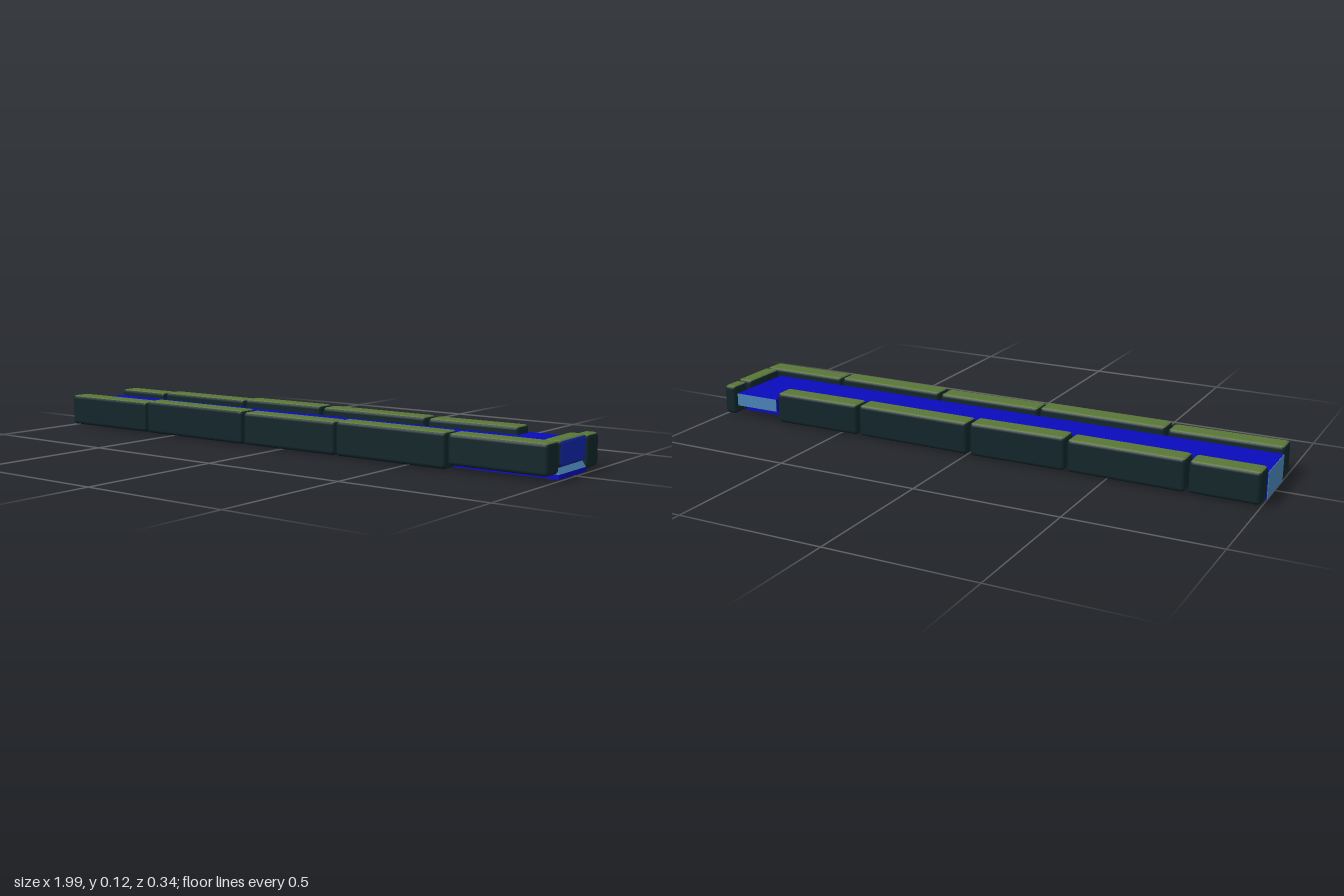
import * as THREE from 'three';
import { RoundedBoxGeometry } from 'three/addons/geometries/RoundedBoxGeometry.js';

const paint = (color) => new THREE.MeshStandardMaterial({ color });
const mossMat = paint(0x587636);
const sideMat = paint(0x12262a);
const baseMat = paint(0x0a1230);
const wetMat = paint(0x1226a8);
const waterMat = paint(0x0a0abc);
const fallMat = paint(0x4a84b8);

// rounded stone filling the given bounds: mossy top, dark sides, turned slightly about y
function stone(name, [x0, x1], [y0, y1], [z0, z1], turn = 0, leftMat = sideMat) {
  const geo = new RoundedBoxGeometry(x1 - x0, y1 - y0, z1 - z0, 3, 0.013);
  // face order: +x, -x, +y, -y, +z, -z
  const mesh = new THREE.Mesh(geo, [leftMat, sideMat, mossMat, baseMat, sideMat, sideMat]);
  mesh.name = name;
  mesh.position.set((x0 + x1) / 2, (y0 + y1) / 2, (z0 + z1) / 2);
  mesh.rotation.y = turn;
  return mesh;
}

// outline in x and y, extruded across z
function water(name, outline, z0, z1, material = waterMat) {
  const shape = new THREE.Shape(outline.map(([x, y]) => new THREE.Vector2(x, y)));
  const geo = new THREE.ExtrudeGeometry(shape, { depth: z1 - z0, bevelEnabled: false });
  geo.translate(0, 0, z0);
  const mesh = new THREE.Mesh(geo, material);
  mesh.name = name;
  return mesh;
}

export function createModel() {
  const model = new THREE.Group();
  model.name = 'stoneLinedChannel';

  // channel of water with a low ledge under the end stone
  model.add(water('channelWater',
    [[-0.998, 0], [0.99, 0], [0.99, 0.015], [0.93, 0.015], [0.93, 0.09], [-0.998, 0.09]],
    -0.085, 0.091));
  // side outlet through the gap in the back row
  model.add(water('outletWater',
    [[0.76, 0.045], [0.93, 0.045], [0.93, 0.09], [0.76, 0.09]], -0.168, -0.085));

  // pale falling water at the three openings
  model.add(water('rightFall',
    [[-1, 0], [-0.998, 0], [-0.998, 0.089], [-1, 0.089]], -0.085, 0.091, fallMat));
  model.add(water('leftFall',
    [[0.93, 0.015], [0.99, 0.015], [0.975, 0.036], [0.93, 0.036]], -0.085, 0.091, fallMat));
  model.add(water('outletFall',
    [[0.76, 0.045], [0.93, 0.045], [0.93, 0.089], [0.76, 0.089]], -0.17, -0.168, fallMat));

  // front row of edge stones: x range, y range, turn
  const frontRow = [
    [[-1, -0.614], [0.004, 0.113], 0.012],
    [[-0.608, -0.153], [0.004, 0.119], -0.008],
    [[-0.147, 0.234], [0.004, 0.115], 0.01],
    [[0.24, 0.652], [0.004, 0.118], -0.01],
    [[0.658, 0.992], [0.018, 0.116], -0.006],
  ];
  frontRow.forEach(([x, y, turn], i) =>
    model.add(stone(`frontStone${i + 1}`, x, y, [0.092, 0.168], turn)));

  // back row, ending before the outlet
  const backRow = [
    [[-1, -0.773], [0.006, 0.113], -0.01],
    [[-0.764, -0.368], [0.006, 0.116], -0.008],
    [[-0.36, -0.02], [0.006, 0.12], 0.015],
    [[-0.008, 0.414], [0.006, 0.117], -0.008],
    [[0.425, 0.756], [0.006, 0.115], 0.012],
  ];
  backRow.forEach(([x, y, turn], i) =>
    model.add(stone(`backStone${i + 1}`, x, y, [-0.165, -0.09], turn)));

  // stones closing the left end; the outer face of the end stone is wet
  model.add(stone('endStone', [0.932, 0.992], [0.034, 0.116], [-0.088, 0.09], 0.02, wetMat));
  model.add(stone('cornerStone', [0.945, 0.992], [0.008, 0.112], [-0.167, -0.09]));

  return model;
}
